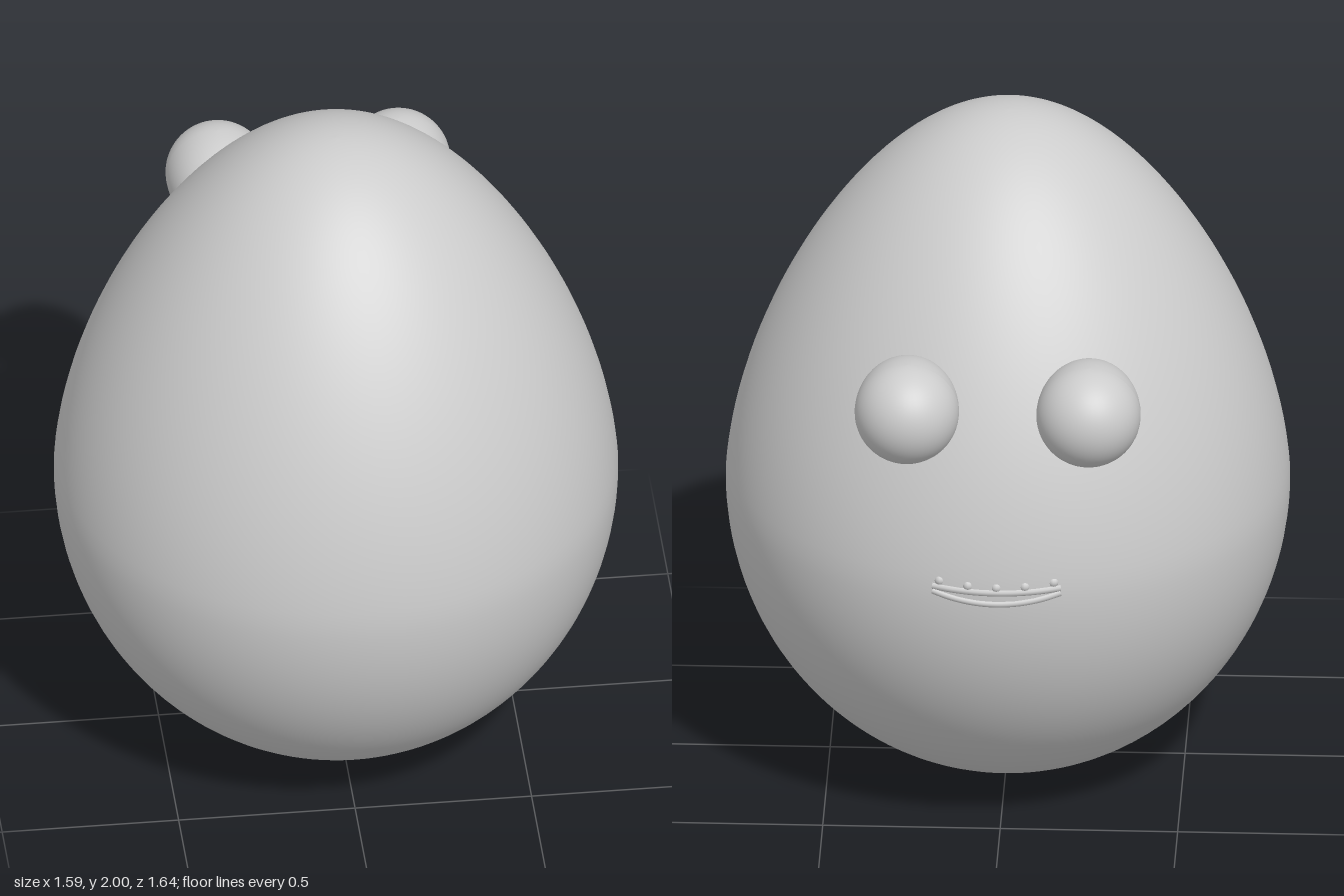
import * as THREE from 'three';

const WIDEST = 0.86;   // height of the widest ring
const RADIUS = 0.795;
const CENTRE_Z = 0.025;

// Body radius at height y: ellipse below, narrowed ellipse above
function bodyRadius(y) {
  if (y <= WIDEST) {
    const t = (WIDEST - y) / WIDEST;
    return RADIUS * Math.sqrt(Math.max(0, 1 - t * t));
  }
  const t = Math.min(1, (y - WIDEST) / (2 - WIDEST));
  return RADIUS * Math.sqrt(1 - t * t) * (1 - 0.19 * Math.pow(t, 1.3));
}

// Point on the back of the body, sunk below the surface by depth
function backPoint(x, y, depth) {
  const r = bodyRadius(y) - depth;
  return new THREE.Vector3(x, y, CENTRE_Z - Math.sqrt(r * r - x * x));
}

export function createModel() {
  const model = new THREE.Group();
  const grey = new THREE.MeshStandardMaterial({ color: 0xcccccc });
  grey.name = 'grey';

  function add(name, geometry, parent = model) {
    const mesh = new THREE.Mesh(geometry, grey);
    mesh.name = name;
    parent.add(mesh);
    return mesh;
  }

  // Egg-shaped body, rings packed towards the poles
  const profile = [];
  const rings = 72;
  for (let i = 0; i <= rings; i++) {
    const y = 1 - Math.cos((i / rings) * Math.PI);
    profile.push(new THREE.Vector2(i === 0 || i === rings ? 0 : bodyRadius(y), y));
  }
  add('body', new THREE.LatheGeometry(profile, 96)).position.z = CENTRE_Z;

  // Bulging eyes, round outside and drawn out into the body
  const eyeShape = new THREE.SphereGeometry(0.147, 48, 32);
  const p = eyeShape.attributes.position;
  for (let i = 0; i < p.count; i++) {
    if (p.getZ(i) > 0) p.setZ(i, p.getZ(i) * 1.42);
  }
  eyeShape.computeVertexNormals();
  for (const [name, side] of [['leftEye', 1], ['rightEye', -1]]) {
    add(name, eyeShape).position.set(side * 0.256, 1.387, -0.672);
  }

  // Faint mouth: two shallow lips and a row of small bumps
  const mouth = new THREE.Group();
  mouth.name = 'mouth';
  model.add(mouth);
  for (const [name, height, sag] of [['upperLip', 0.87, 0.01], ['lowerLip', 0.835, 0.03]]) {
    const path = [];
    for (let i = -4; i <= 4; i++) {
      const u = i / 4;
      path.push(backPoint(u * 0.18, height + sag * u * u, 0.006));
    }
    add(name, new THREE.TubeGeometry(new THREE.CatmullRomCurve3(path), 32, 0.011, 10), mouth);
  }
  const bump = new THREE.SphereGeometry(0.016, 12, 8);
  for (let i = -2; i <= 2; i++) {
    add('mouthBump', bump, mouth).position.copy(backPoint(i * 0.08, 0.885 + 0.003 * i * i, 0.01));
  }

  return model;
}
